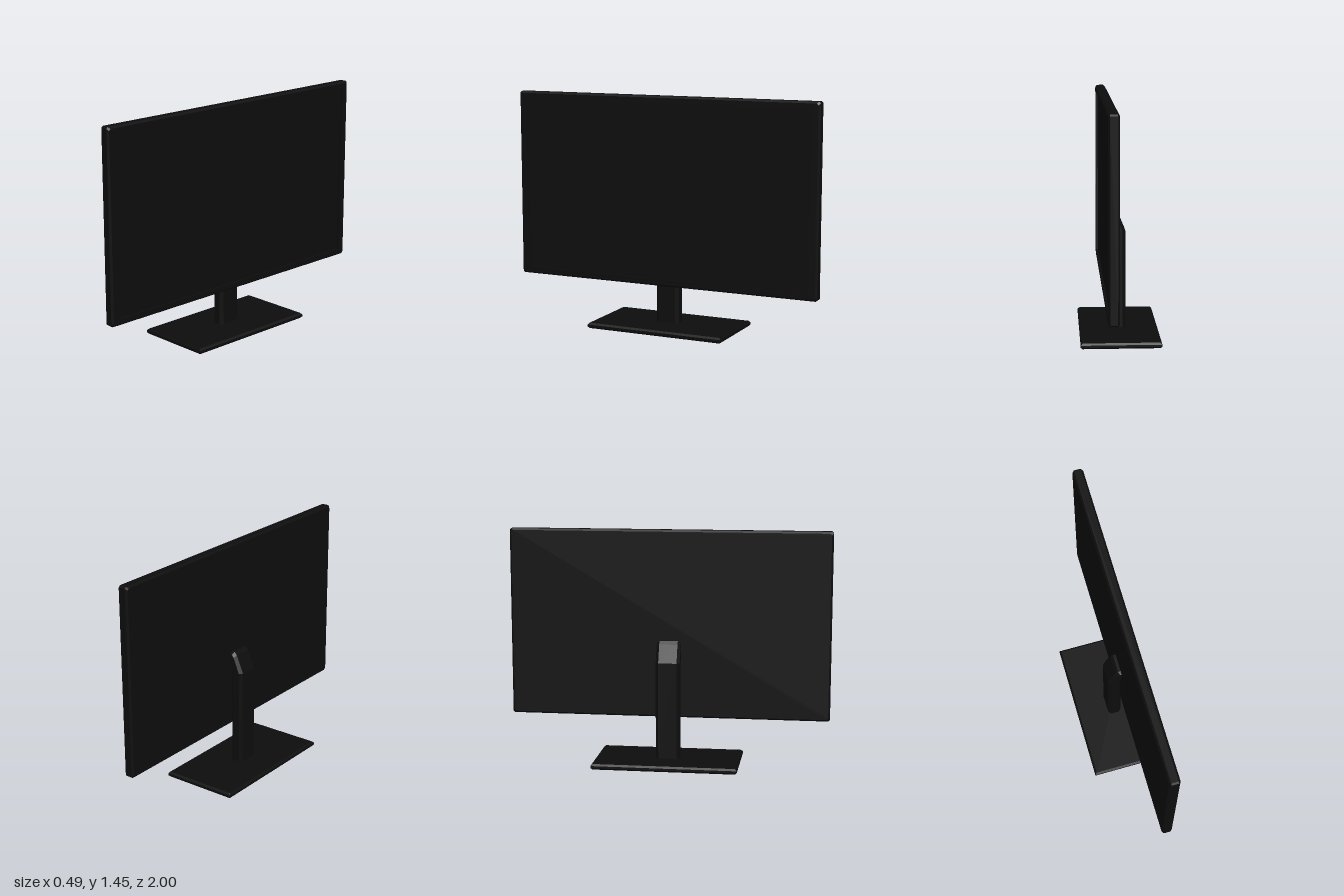
import * as THREE from 'three';

// Rectangle with cut corners, counterclockwise in (u, v)
function cutRect(hu, hv, c) {
  return [
    [hu, -hv + c], [hu, hv - c], [hu - c, hv], [-hu + c, hv],
    [-hu, hv - c], [-hu, -hv + c], [-hu + c, -hv], [hu - c, -hv],
  ];
}

// Skin a list of rings and cap both ends
function loft(rings) {
  const n = rings[0].length;
  const last = rings.length - 1;
  const pos = [];
  const tri = (...pts) => pts.forEach((p) => pos.push(...p));
  for (let i = 0; i < last; i++) {
    for (let j = 0; j < n; j++) {
      const k = (j + 1) % n;
      tri(rings[i][j], rings[i][k], rings[i + 1][k]);
      tri(rings[i][j], rings[i + 1][k], rings[i + 1][j]);
    }
  }
  for (let j = 1; j < n - 1; j++) {
    tri(rings[0][0], rings[0][j + 1], rings[0][j]);
    tri(rings[last][0], rings[last][j], rings[last][j + 1]);
  }
  const geo = new THREE.BufferGeometry();
  geo.setAttribute('position', new THREE.Float32BufferAttribute(pos, 3));
  geo.computeVertexNormals();
  return geo;
}

export function createModel() {
  const model = new THREE.Group();
  model.name = 'monitor';
  const black = new THREE.MeshStandardMaterial({ color: 0x0d0d0d, flatShading: true });
  const add = (name, geo) => {
    const mesh = new THREE.Mesh(geo, black);
    mesh.name = name;
    model.add(mesh);
    return mesh;
  };

  // Base plate with chamfered rim: [height, inset]
  add('base', loft([[0, 0.011], [0.011, 0], [0.024, 0], [0.035, 0.011]].map(([y, inset]) =>
    cutRect(0.45 - inset, 0.243 - inset, 0.001).map(([z, x]) => [x, y, z]))));

  // Stand: upright column bending forward into the panel; [backX, backY, frontX, frontY]
  const sections = [
    [-0.044, 0.03, 0.04, 0.03],
    [-0.044, 0.638, 0.04, 0.638],
    [0.002, 0.748, 0.052, 0.70],
    [0.02, 0.768, 0.055, 0.70],
    [0.055, 0.768, 0.058, 0.69],
  ];
  add('stand', loft(sections.map(([bx, by, fx, fy]) => {
    const w = Math.hypot(fx - bx, fy - by);
    return cutRect(0.075, w / 2, 0.018).map(([z, v]) => {
      const t = 0.5 + v / w;
      return [bx + (fx - bx) * t, by + (fy - by) * t, z];
    });
  })));

  // Panel housing facing +x, with bezel and recess: [x, vertical inset, side inset]
  const midY = 0.867, halfH = 0.586;
  const steps = [
    [0.038, 0.011, 0.011], [0.049, 0, 0], [0.092, 0, 0], [0.103, 0.011, 0.011],
    [0.103, 0.04, 0.055], [0.087, 0.04, 0.055],
  ];
  add('panelHousing', loft(steps.map(([x, iy, iz]) =>
    cutRect(halfH - iy, 1 - iz, iy > 0.02 ? 0.001 : 0.01).map(([y, z]) => [x, midY + y, z]))));

  // Screen surface set into the bezel
  const screen = add('screen', new THREE.BoxGeometry(0.006, 2 * (halfH - 0.041), 2 * 0.944));
  screen.position.set(0.086, midY, 0);

  return model;
}
